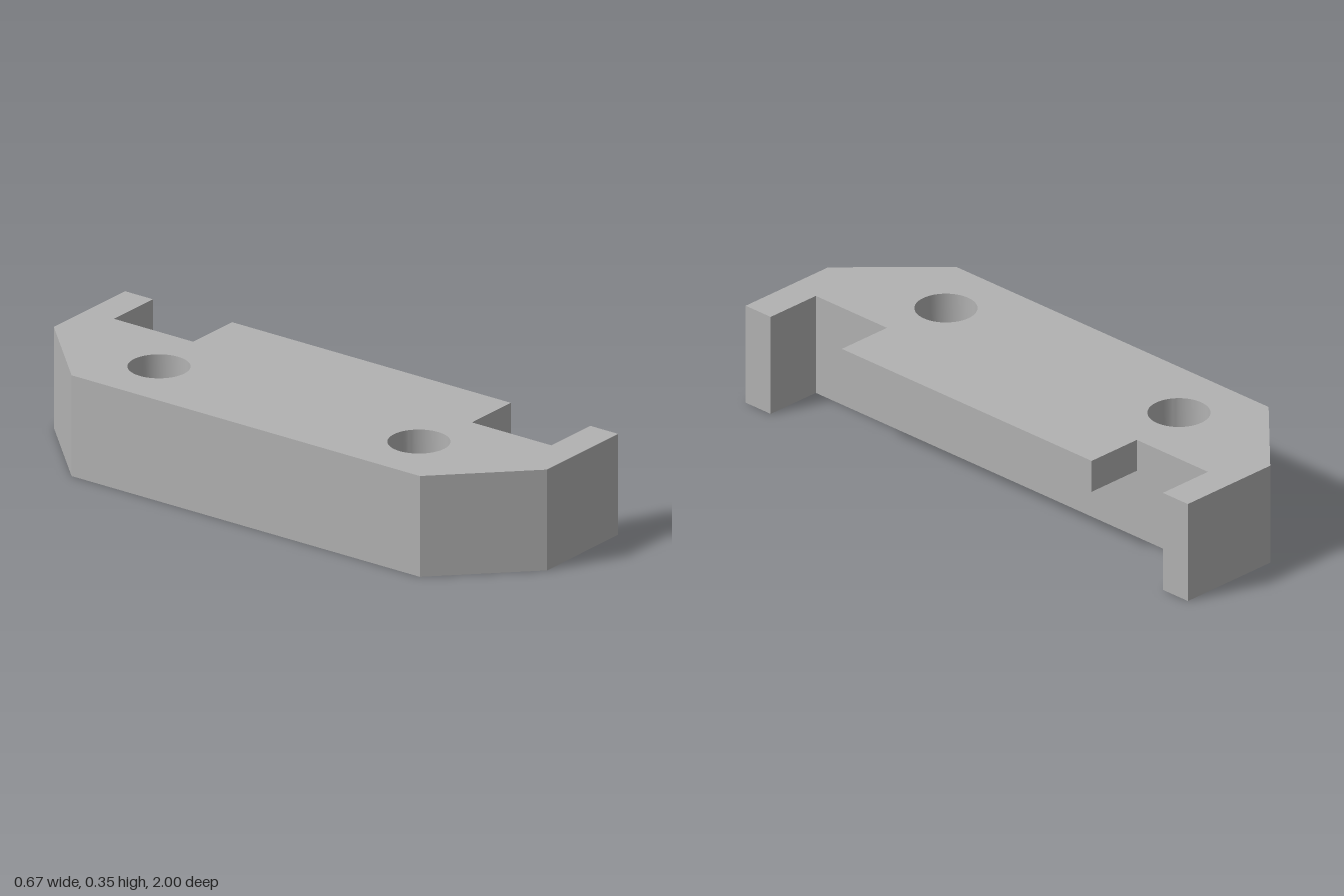
import * as THREE from 'three';
import { toCreasedNormals } from 'three/addons/utils/BufferGeometryUtils.js';

const HEIGHT = 0.352;
const TONGUE_BOTTOM = 0.24;
const INNER_X = 0.128; // inner wall between the end arms
const OUTER_X = 0.336;

export function createModel() {
  const group = new THREE.Group();
  group.name = 'clampBracket';
  const grey = new THREE.MeshStandardMaterial({ color: 0xb2b2b2 });
  grey.name = 'grey';

  // Half outline, mirrored to form the chamfered plate with its two end arms
  const half = [
    [INNER_X, 0.887], [OUTER_X, 0.887], [OUTER_X, 1], [-0.044, 1], [-OUTER_X, 0.706],
  ];
  const outline = [...half, ...half.map(([x, y]) => [x, -y]).reverse()];
  const shape = new THREE.Shape(outline.map(([x, y]) => new THREE.Vector2(x, y)));

  // Two bolt holes through the plate
  for (const side of [-1, 1]) {
    const hole = new THREE.Path();
    hole.absarc(-0.105, side * 0.527, 0.102, 0, Math.PI * 2, true);
    shape.holes.push(hole);
  }

  const plate = new THREE.ExtrudeGeometry(shape, {
    depth: HEIGHT, bevelEnabled: false, curveSegments: 32,
  });
  plate.rotateX(-Math.PI / 2);
  const body = new THREE.Mesh(toCreasedNormals(plate, 0.5), grey);
  body.name = 'body';
  group.add(body);

  // Raised tongue, flush with the top, between the arms
  const tongue = new THREE.Mesh(
    new THREE.BoxGeometry(OUTER_X - INNER_X, HEIGHT - TONGUE_BOTTOM, 1.13), grey);
  tongue.name = 'tongue';
  tongue.position.set((OUTER_X + INNER_X) / 2, (HEIGHT + TONGUE_BOTTOM) / 2, 0);
  group.add(tongue);

  return group;
}
